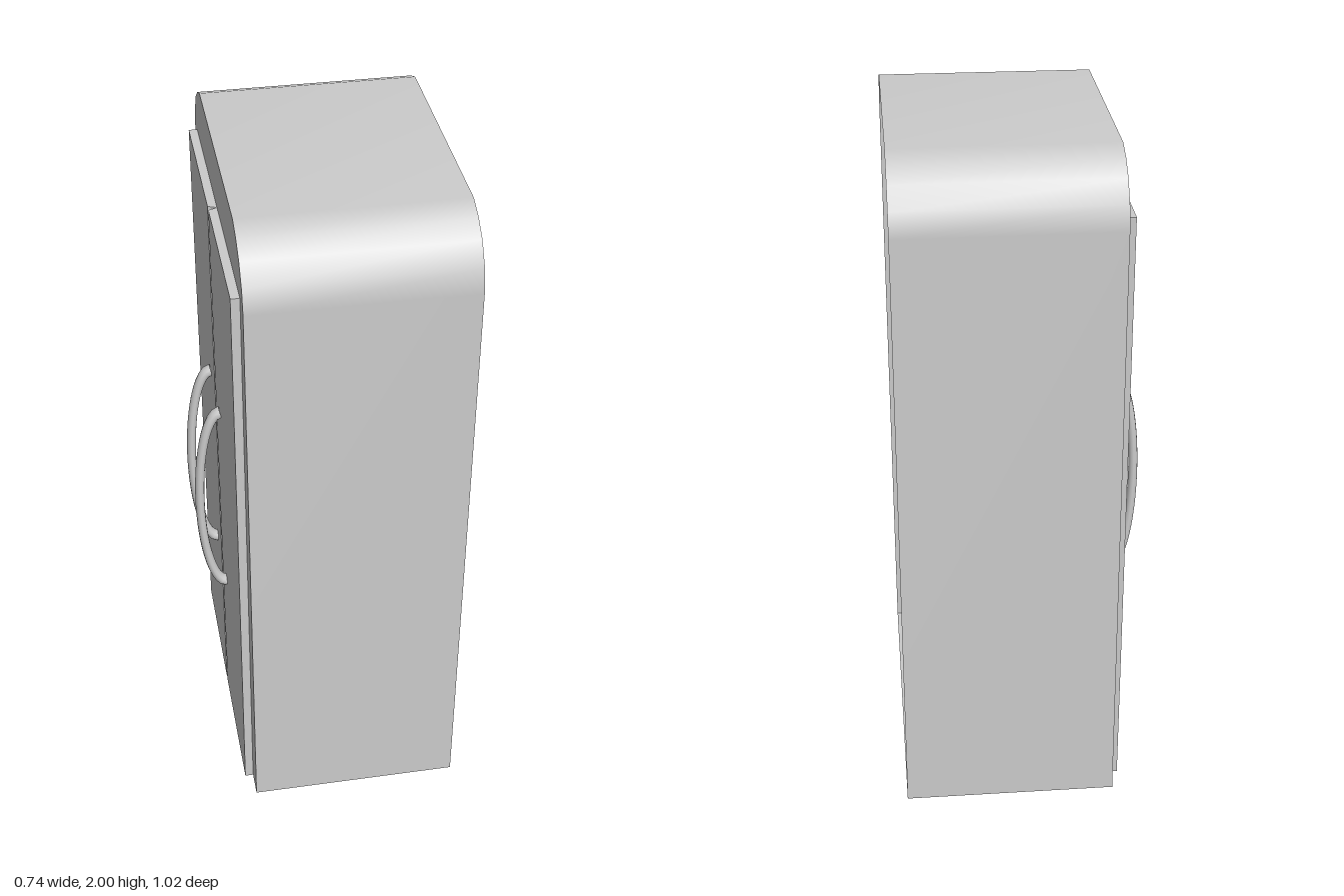
import * as THREE from 'three';

const FRONT = -0.26, BACK = 0.367, DOOR = -0.285; // x planes (doors face -x)
const material = new THREE.MeshStandardMaterial({ color: 0xcccccc, side: THREE.DoubleSide });

function addMesh(group, name, geometry) {
  const mesh = new THREE.Mesh(geometry, material);
  mesh.name = name;
  group.add(mesh);
  return mesh;
}

// Flat-shaded sheet from quads of Vector3 corners
function quadSheet(quads) {
  const points = quads.flatMap(([a, b, c, d]) => [a, b, c, a, c, d]);
  const geometry = new THREE.BufferGeometry().setFromPoints(points);
  geometry.computeVertexNormals();
  return geometry;
}

// Arch outline [z, y] from the +z foot over the top to the -z foot
const corner = [[0.512, 0], [0.512, 1.81], [0.497, 1.878], [0.457, 1.938], [0.407, 1.976], [0.35, 2]];
const arch = [...corner, ...corner.map(([z, y]) => [-z, y]).reverse()];

// Sides and top as one smooth bent sheet
function shellGeometry() {
  const points = [], index = [];
  arch.forEach(([z, y], i) => {
    points.push(new THREE.Vector3(FRONT, y, z), new THREE.Vector3(BACK, y, z));
    if (i > 0) {
      const a = 2 * i - 2;
      index.push(a, a + 1, a + 3, a, a + 3, a + 2);
    }
  });
  const geometry = new THREE.BufferGeometry().setFromPoints(points);
  geometry.setIndex(index);
  geometry.computeVertexNormals();
  return geometry;
}

// Hollow door tray: face, outer edge, top, bottom and slanted groove wall
function doorGeometry(s) {
  const ring = (x, inner) => [[inner, 0], [0.437, 0], [0.458, 1.83], [inner, 1.83]]
    .map(([z, y]) => new THREE.Vector3(x, y, z * s));
  const face = ring(DOOR, 0.01), rim = ring(FRONT, 0);
  const quads = [face];
  for (let i = 0; i < 4; i++) {
    const j = (i + 1) % 4;
    quads.push([face[j], face[i], rim[i], rim[j]]);
  }
  return quadSheet(s > 0 ? quads : quads.map((q) => [...q].reverse()));
}

export function createModel() {
  const model = new THREE.Group();
  model.name = 'fridge';

  addMesh(model, 'shell', shellGeometry());

  // Floor
  const floor = new THREE.PlaneGeometry(BACK - FRONT, 1.024);
  floor.rotateX(Math.PI / 2).translate((BACK + FRONT) / 2, 0, 0);
  addMesh(model, 'floor', floor);

  // Arched frame around the door opening
  const opening = [[-0.437, 0], [-0.458, 1.83], [0.458, 1.83], [0.437, 0]];
  const outline = [...arch, ...opening].map(([z, y]) => new THREE.Vector2(z, y));
  const frame = new THREE.ShapeGeometry(new THREE.Shape(outline));
  frame.rotateY(-Math.PI / 2).translate(FRONT, 0, 0);
  addMesh(model, 'doorFrame', frame);

  // Bowed handle: half ellipse standing on the door
  const bow = [];
  for (let i = 0; i <= 16; i++) {
    const t = (i / 16) * Math.PI;
    bow.push(new THREE.Vector3(-0.095 * Math.sin(t), 0.33 * Math.cos(t), 0));
  }
  const handle = new THREE.TubeGeometry(new THREE.CatmullRomCurve3(bow), 32, 0.0185, 12);

  for (const [side, s, z] of [['left', -1, -0.11], ['right', 1, 0.105]]) {
    addMesh(model, side + 'Door', doorGeometry(s));
    const mesh = addMesh(model, side + 'Handle', handle);
    mesh.position.set(DOOR, 0.878, z);
    mesh.scale.x = 0.75; // slightly flattened grip
  }
  return model;
}
